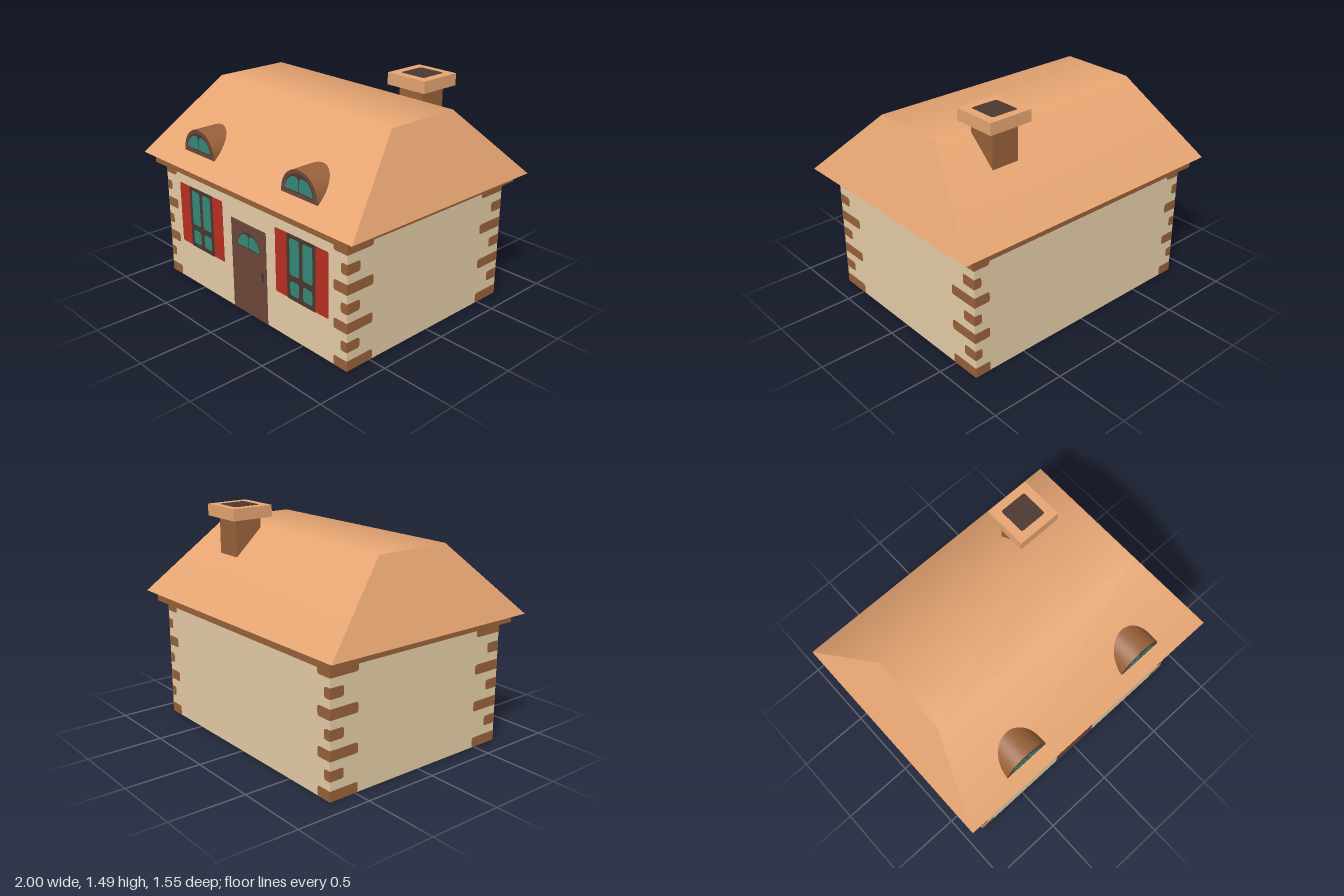
import * as THREE from 'three';

const mat = (name, color, side = THREE.FrontSide) => {
  const m = new THREE.MeshStandardMaterial({ color, side });
  m.name = name;
  return m;
};

// House dimensions
const WX = 0.876, WZ = 0.684, WALL_TOP = 0.803, EAVE = 0.866, RIDGE = 1.345;
const BAND_X = 0.927, BAND_Z = 0.735;

export function createModel() {
  const plaster = mat('plaster', 0xe7cfa9, THREE.DoubleSide);
  const roofTile = mat('roofTile', 0xe8a673);
  const brick = mat('brick', 0x99623a);
  const doorWood = mat('doorWood', 0x6f483b);
  const darkWood = mat('darkWood', 0x4c3830);
  const shutterRed = mat('shutterRed', 0xbb3021);
  const glass = mat('glass', 0x358a7a);

  const house = new THREE.Group();
  house.name = 'cottage';

  const add = (parent, name, geometry, material, x = 0, y = 0, z = 0) => {
    const mesh = new THREE.Mesh(geometry, material);
    mesh.name = name;
    mesh.position.set(x, y, z);
    parent.add(mesh);
    return mesh;
  };
  const group = (name, parent, x = 0, y = 0, z = 0) => {
    const g = new THREE.Group();
    g.name = name;
    g.position.set(x, y, z);
    parent.add(g);
    return g;
  };
  const box = (parent, name, m, x0, x1, y0, y1, z0, z1) =>
    add(parent, name, new THREE.BoxGeometry(x1 - x0, y1 - y0, z1 - z0), m,
      (x0 + x1) / 2, (y0 + y1) / 2, (z0 + z1) / 2);

  // Thin plate centred on the wall plane, so it shows on both sides
  const plate = (shape, t) =>
    new THREE.ExtrudeGeometry(shape, { depth: t, bevelEnabled: false, curveSegments: 10 }).translate(0, 0, -t / 2);

  // Rectangle with separate rounding for its left and right corners
  const rect = (x0, x1, y0, y1, rl, rr = rl) => {
    const s = new THREE.Shape();
    s.moveTo(x0 + rl, y0);
    s.lineTo(x1 - rr, y0);
    s.quadraticCurveTo(x1, y0, x1, y0 + rr);
    s.lineTo(x1, y1 - rr);
    s.quadraticCurveTo(x1, y1, x1 - rr, y1);
    s.lineTo(x0 + rl, y1);
    s.quadraticCurveTo(x0, y1, x0, y1 - rl);
    s.lineTo(x0, y0 + rl);
    s.quadraticCurveTo(x0, y0, x0 + rl, y0);
    return s;
  };

  // Half-round outline standing on a short straight base
  const arch = (r, base, h = r) => {
    const s = new THREE.Shape();
    s.moveTo(-r, 0);
    s.lineTo(r, 0);
    s.lineTo(r, base);
    s.absellipse(0, base, r, h, 0, Math.PI, false);
    s.lineTo(-r, 0);
    return s;
  };

  // Quarter-round pane with a softened inner top corner, on one side of the middle
  const fanPane = (side, w, h) => {
    const s = new THREE.Shape();
    const g = 0.003;
    s.moveTo(side * g, 0.004);
    s.lineTo(side * (w - 0.008), 0);
    s.quadraticCurveTo(side * w, 0, side * w, h * 0.15);
    s.bezierCurveTo(side * w * 0.92, h * 0.62, side * w * 0.6, h * 0.96, side * w * 0.28, h * 0.96);
    s.quadraticCurveTo(side * g, h * 0.96, side * g, h * 0.6);
    s.lineTo(side * g, 0.004);
    return s;
  };
  const fanlight = (parent, w, h, y) => {
    for (const side of [-1, 1]) add(parent, 'fanPane', plate(fanPane(side, w, h), 0.005), glass, 0, y, 0);
  };

  // Walls with corner stones and the eaves band above; the short sides carry longer stones
  for (let i = 0; i < 4; i++) {
    const onSide = i % 2 === 1;
    const half = onSide ? WZ : WX;
    const wall = group(['frontWall', 'leftWall', 'backWall', 'rightWall'][i], house);
    wall.rotation.y = i * Math.PI / 2;
    const out = onSide ? WX : WZ;
    add(wall, 'plasterWall', new THREE.PlaneGeometry(half * 2, WALL_TOP), plaster, 0, WALL_TOP / 2, out);
    add(wall, 'eavesBand', new THREE.PlaneGeometry((onSide ? BAND_Z : BAND_X) * 2, EAVE - WALL_TOP), brick,
      0, (EAVE + WALL_TOP) / 2, onSide ? BAND_X : BAND_Z);
    for (let row = 0; row < 7; row++) {
      const long = row % 2 === 0;
      const w = onSide ? (long ? 0.203 : 0.098) : (long ? 0.11 : 0.05);
      const y0 = row * 0.123, y1 = Math.min(y0 + 0.066, WALL_TOP);
      add(wall, 'cornerStone', plate(rect(-half, -half + w, y0, y1, 0, 0.018), 0.003), brick, 0, 0, out);
      add(wall, 'cornerStone', plate(rect(half - w, half, y0, y1, 0.018, 0), 0.003), brick, 0, 0, out);
    }
  }

  // Soffit strip under the eaves band, open above the room
  const soffit = rect(-BAND_X, BAND_X, -BAND_Z, BAND_Z, 0);
  soffit.holes.push(rect(-WX, WX, -WZ, WZ, 0));
  add(house, 'soffit', new THREE.ShapeGeometry(soffit).rotateX(Math.PI / 2), brick, 0, WALL_TOP, 0);

  // Door with fanlight and handle
  const door = group('door', house, 0, 0, WZ);
  add(door, 'doorPanel', plate(rect(-0.171, 0.171, 0, 0.63, 0.006), 0.003), doorWood);
  add(door, 'fanlightFrame', plate(arch(0.112, 0.008, 0.104), 0.004), darkWood, 0, 0.461, 0);
  fanlight(door, 0.107, 0.092, 0.466);
  add(door, 'doorHandle', plate(rect(0.117, 0.144, 0.28, 0.35, 0.01), 0.004), darkWood);

  // Windows with shutters
  for (const x of [-0.493, 0.491]) {
    const win = group('window', house, x, 0, WZ);
    add(win, 'windowFrame', plate(rect(-0.126, 0.126, 0.275, 0.705, 0.008), 0.004), darkWood);
    for (const s of [-1, 1]) {
      const c = s * 0.178;
      add(win, 'shutter', plate(rect(c - 0.054, c + 0.054, 0.279, 0.704, 0.01), 0.003), shutterRed);
      const p = s * 0.058;
      add(win, 'upperPane', plate(rect(p - 0.042, p + 0.042, 0.44, 0.68, 0.018), 0.005), glass);
      add(win, 'lowerPane', plate(rect(p - 0.04, p + 0.04, 0.305, 0.4, 0.02), 0.005), glass);
    }
  }

  // Roof: slopes and top share smooth normals, ends and underside are flat
  const rows = [[1, EAVE, 0.775], [0.787, RIDGE, 0.262], [0.787, RIDGE, -0.262], [1, EAVE, -0.775]];
  const rowNormals = [[0, 0.73, 0.684], [0, 0.93, 0.367], [0, 0.93, -0.367], [0, 0.73, -0.684]];
  const surface = (points, index) => {
    const g = new THREE.BufferGeometry();
    g.setAttribute('position', new THREE.Float32BufferAttribute(points.flat(), 3));
    g.setIndex(index);
    g.computeVertexNormals();
    return g;
  };
  const roof = group('roof', house);
  const slopes = [], slopeNormals = [], slopeIndex = [];
  rows.forEach(([x, y, z], i) => {
    slopes.push([-x, y, z], [x, y, z]);
    slopeNormals.push(rowNormals[i], rowNormals[i]);
    const a = i * 2;
    if (i < 3) slopeIndex.push(a, a + 1, a + 3, a, a + 3, a + 2);
  });
  const slopeGeometry = surface(slopes, slopeIndex);
  slopeGeometry.setAttribute('normal', new THREE.Float32BufferAttribute(slopeNormals.flat(), 3));
  add(roof, 'roofSlopes', slopeGeometry, roofTile);
  add(roof, 'leftRoofEnd', surface(rows, [0, 3, 2, 0, 2, 1]), roofTile);
  add(roof, 'rightRoofEnd', surface(rows.map(([x, y, z]) => [-x, y, z]), [0, 2, 3, 0, 1, 2]), roofTile);
  add(roof, 'roofUnderside', new THREE.PlaneGeometry(2, 1.55).rotateX(Math.PI / 2), roofTile, 0, EAVE, 0);

  // Dormers
  for (const x of [-0.481, 0.481]) {
    const dormer = group('dormer', house, x, 0.955, WZ);
    const hood = new THREE.ExtrudeGeometry(arch(0.155, 0.012), { depth: 0.25, bevelEnabled: false, curveSegments: 28 });
    add(dormer, 'dormerHood', hood, [doorWood, brick], 0, 0, -0.25);
    add(dormer, 'dormerFrame', plate(arch(0.12, 0.01, 0.108), 0.003), darkWood, 0, 0.025, 0);
    fanlight(dormer, 0.116, 0.094, 0.031);
  }

  // Chimney
  const chimney = group('chimney', house);
  box(chimney, 'chimneyShaft', brick, 0.351, 0.541, 1.1, 1.41, -0.458, -0.27);
  box(chimney, 'chimneyCap', roofTile, 0.295, 0.597, 1.408, 1.485, -0.51, -0.218);
  add(chimney, 'flueOpening', plate(rect(-0.093, 0.093, -0.092, 0.092, 0.015), 0.003).rotateX(-Math.PI / 2),
    darkWood, 0.446, 1.485, -0.366);

  return house;
}
